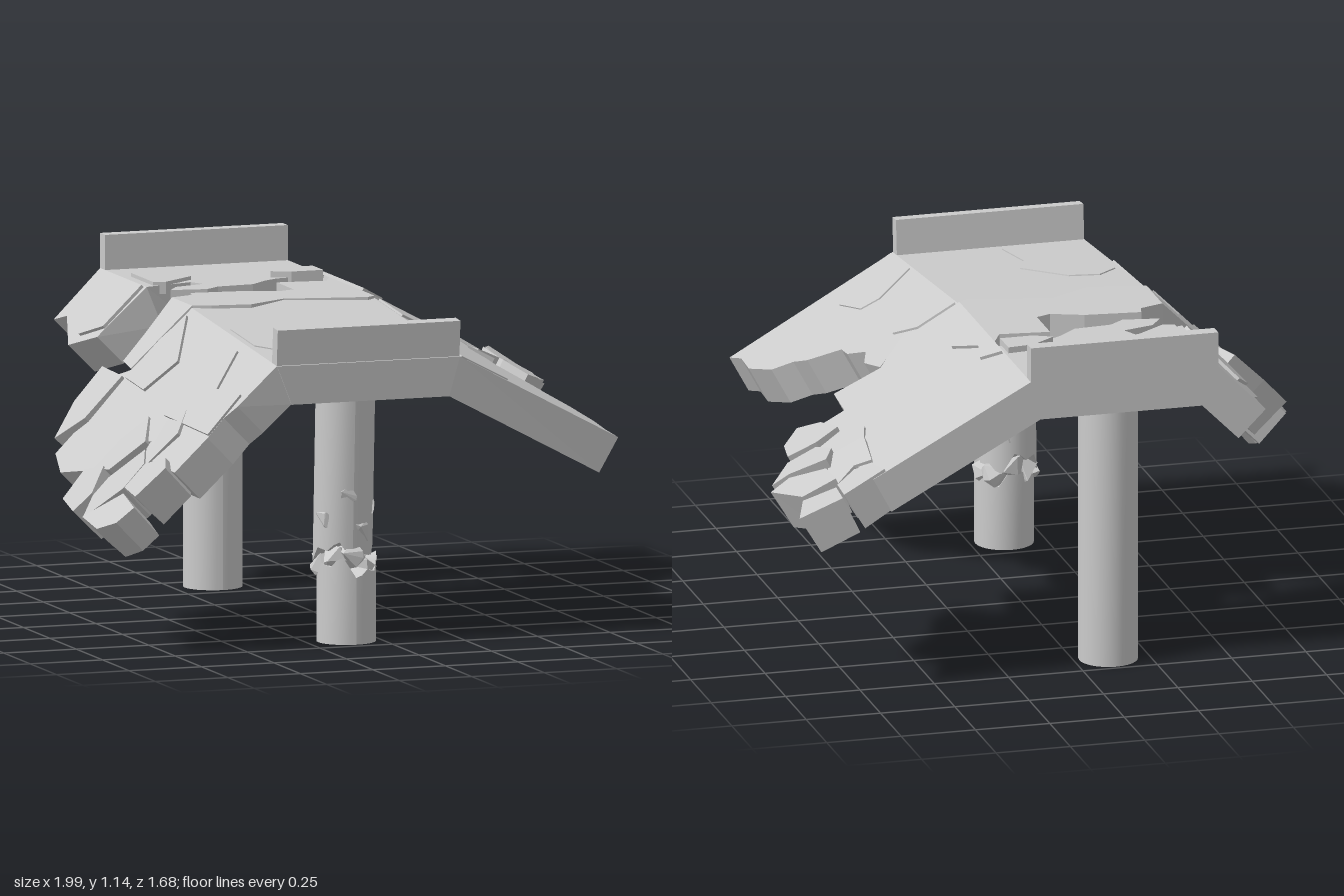
import * as THREE from 'three';
import { ConvexGeometry } from 'three/addons/geometries/ConvexGeometry.js';

const material = new THREE.MeshStandardMaterial({ color: 0xcccccc, flatShading: true });
const smooth = new THREE.MeshStandardMaterial({ color: 0xcccccc });

let seed = 11;
const random = () => ((seed = (seed * 16807) % 2147483647) / 2147483647) * 2 - 1; // -1..1

// Deck cross-section: flat centre with a sloping wing on either side
const FOLD_L = -0.43, FOLD_R = 0.2, THICK = 0.13, SLOPE_L = 1.0, SLOPE_R = 0.54;
const deckY = (x) => 1.03 - Math.max(0, FOLD_L - x) * SLOPE_L - Math.max(0, x - FOLD_R) * SLOPE_R;
// The front half has sagged toward the front
const sag = (z) => -0.01 - 0.095 * (z - 0.05);

// Direction from the top surface to the underside, mitred at the folds
function downward(x) {
  if (Math.abs(x - FOLD_L) < 1e-4) return [0.414, -1];
  if (Math.abs(x - FOLD_R) < 1e-4) return [-0.252, -1];
  if (x < FOLD_L) return [0.707, -0.707];
  if (x > FOLD_R) return [-0.475, -0.88];
  return [0, -1];
}

// Prism over an (x, z) outline that follows the deck
function slab(name, outline, { front = false, thick = THICK, lift = 0, tiltX = 0, tiltZ = 0, taper = 1 } = {}) {
  const shape = new THREE.Shape(outline.map(([x, z]) => new THREE.Vector2(x, -z)));
  const geometry = new THREE.ExtrudeGeometry(shape, { depth: 1, bevelEnabled: false });
  const cx = outline.reduce((s, p) => s + p[0], 0) / outline.length;
  const cz = outline.reduce((s, p) => s + p[1], 0) / outline.length;
  const p = geometry.attributes.position;
  for (let i = 0; i < p.count; i++) {
    const x = p.getX(i), z = -p.getY(i), under = p.getZ(i) < 0.5;
    const y = deckY(x) + (front ? sag(z) : 0) + lift + (x - cx) * tiltX + (z - cz) * tiltZ;
    const [dx, dy] = under ? downward(x) : [0, 0];
    const k = under ? taper : 1;
    p.setXYZ(i, cx + (x - cx) * k + dx * thick, y + dy * thick,
      cz + (z - cz) * k - (under && front ? 0.011 : 0));
  }
  geometry.computeVertexNormals();
  const mesh = new THREE.Mesh(geometry, material);
  mesh.name = name;
  return mesh;
}

// Loose stones: shrunken, tilted cells of the deck
function stones(name, cells, front) {
  const group = new THREE.Group();
  group.name = name;
  for (const cell of cells) {
    const cx = cell.reduce((s, p) => s + p[0], 0) / cell.length;
    const cz = cell.reduce((s, p) => s + p[1], 0) / cell.length;
    const outline = cell.map(([x, z]) => [cx + (x - cx) * 0.97, cz + (z - cz) * 0.97]);
    group.add(slab('stone', outline, {
      front, lift: 0.02 + 0.015 * random(), tiltX: 0.2 * random(), tiltZ: 0.2 * random(), taper: 0.9, thick: 0.14,
    }));
  }
  return group;
}

// Column piece whose broken end is jagged
function columnPiece(name, y0, y1, jagTop, jagBottom) {
  const geometry = new THREE.CylinderGeometry(0.097, 0.097, y1 - y0, 28, 1);
  const p = geometry.attributes.position;
  for (let i = 0; i < p.count; i++) {
    const top = p.getY(i) > 0, a = Math.atan2(p.getZ(i), p.getX(i));
    const jag = 0.025 * Math.sin(3 * a + 1) + 0.018 * Math.sin(7 * a);
    if (Math.hypot(p.getX(i), p.getZ(i)) > 0.01 && (top ? jagTop : jagBottom)) p.setY(i, p.getY(i) + jag);
  }
  geometry.computeVertexNormals();
  const mesh = new THREE.Mesh(geometry, smooth);
  mesh.name = name;
  mesh.position.y = (y0 + y1) / 2;
  return mesh;
}

function box(name, w, h, d, x, y, z, rx = 0) {
  const mesh = new THREE.Mesh(new THREE.BoxGeometry(w, h, d), material);
  mesh.name = name;
  mesh.position.set(x, y, z);
  mesh.rotation.x = rx;
  return mesh;
}

export function createModel() {
  seed = 11;
  const model = new THREE.Group();
  model.name = 'ruinedBridge';

  // Shared crack between the level rear half and the sagging front half
  const crackMid = [[FOLD_L, 0.03], [-0.37, 0.05], [-0.24, 0.07], [-0.1, -0.01], [0.03, 0.02], [0.17, 0.05], [FOLD_R, 0.03]];
  const crackRight = [[FOLD_R, 0.03], [0.35, 0.02], [0.38, 0.05], [0.5, -0.09]];

  // Rear deck, level
  model.add(
    slab('rearRightWing', [[FOLD_L, -0.84], [-0.59, -0.84], [-0.57, -0.77], [-0.635, -0.58], [-0.59, -0.43], [FOLD_L, -0.4]]),
    slab('rearCentre', [[FOLD_L, -0.84], [FOLD_L, -0.4], [-0.26, -0.45], [-0.235, -0.4], [-0.34, -0.37], [-0.38, -0.31],
      [-0.26, -0.29], [-0.21, -0.33], [-0.085, -0.34], [-0.02, -0.4], [0.03, -0.43], [FOLD_R, -0.45], [FOLD_R, -0.84]]),
    slab('middleCentre', [[FOLD_L, -0.16], [-0.35, -0.19], [-0.34, -0.23], [-0.155, -0.21], [-0.05, -0.17], [0, -0.19],
      [0, -0.35], [0.165, -0.33], [FOLD_R, -0.4], ...[...crackMid].reverse()]),
    slab('middleRightWing', [[FOLD_L, -0.16], [-0.54, -0.12], [-0.62, -0.1], [-0.63, 0], [FOLD_L, 0.03]]),
    slab('rearLeftWing', [[FOLD_R, -0.84], [0.73, -0.84], [0.74, -0.7], [0.7, -0.5], [0.68, -0.3], [0.66, -0.25],
      [0.65, -0.07], ...[...crackRight].reverse()]),
  );

  // Front deck, sagging
  const front = true;
  model.add(
    slab('frontCentre', [...crackMid, [FOLD_R, 0.84], [FOLD_L, 0.84]], { front }),
    slab('frontLeftWing', [...crackRight, [0.52, 0.03], [0.49, 0.12], [0.53, 0.2], [0.53, 0.27], [0.62, 0.36], [0.65, 0.42],
      [0.71, 0.47], [0.75, 0.6], [0.74, 0.73], [0.76, 0.8], [FOLD_R, 0.84]], { front }),
    slab('frontRightWing', [[FOLD_L, 0.03], [-0.63, 0], [-0.66, -0.06], [-0.72, 0], [-0.89, 0], [-0.92, 0.13], [-0.875, 0.3],
      [-0.78, 0.33], [-0.74, 0.5], [-0.78, 0.62], [-0.77, 0.8], [-0.66, 0.81], [-0.6, 0.8], [-0.56, 0.82], [FOLD_L, 0.835]], { front }),
  );

  // Broken stones at the wing ends
  model.add(stones('rearLeftStones', [
    [[0.69, -0.84], [0.83, -0.84], [0.82, -0.72], [0.75, -0.68], [0.7, -0.74]],
    [[0.83, -0.84], [0.98, -0.84], [0.93, -0.7], [0.82, -0.72]],
    [[0.82, -0.72], [0.93, -0.7], [0.99, -0.52], [0.92, -0.5], [0.82, -0.6]],
    [[0.7, -0.72], [0.75, -0.68], [0.82, -0.72], [0.82, -0.6], [0.78, -0.52], [0.68, -0.55]],
    [[0.68, -0.55], [0.78, -0.52], [0.8, -0.4], [0.72, -0.38], [0.65, -0.45]],
    [[0.78, -0.52], [0.82, -0.6], [0.92, -0.5], [0.98, -0.5], [0.89, -0.37], [0.8, -0.4]],
    [[0.65, -0.45], [0.72, -0.38], [0.77, -0.27], [0.66, -0.25]],
    [[0.72, -0.38], [0.8, -0.4], [0.89, -0.37], [0.87, -0.25], [0.8, -0.16], [0.74, -0.24]],
  ], false));
  model.add(stones('frontRightStones', [
    [[-0.98, 0.31], [-0.9, 0.3], [-0.86, 0.38], [-0.92, 0.43], [-0.98, 0.41]],
    [[-0.87, 0.3], [-0.78, 0.31], [-0.7, 0.37], [-0.76, 0.5], [-0.86, 0.42]],
    [[-0.92, 0.43], [-0.86, 0.42], [-0.76, 0.5], [-0.8, 0.6], [-0.88, 0.62], [-0.99, 0.52]],
    [[-0.99, 0.52], [-0.88, 0.62], [-0.9, 0.78], [-0.96, 0.77], [-1, 0.69]],
    [[-0.88, 0.62], [-0.8, 0.6], [-0.77, 0.72], [-0.8, 0.8], [-0.9, 0.78]],
    [[-0.76, 0.5], [-0.69, 0.46], [-0.64, 0.56], [-0.7, 0.64], [-0.8, 0.6]],
    [[-0.89, -0.02], [-0.79, -0.1], [-0.68, -0.13], [-0.66, 0.01], [-0.8, 0.03]],
  ], true));

  // Thin lifted flakes on the surface
  const flake = (outline, inFront, lift) => model.add(slab('surfaceFlake', outline, { front: inFront, thick: 0.04, lift }));
  flake([[-0.41, 0.34], [-0.34, 0.27], [-0.24, 0.29], [-0.12, 0.45], [-0.16, 0.55], [-0.14, 0.74], [-0.3, 0.7], [-0.41, 0.57]], true, 0.004);
  flake([[0.21, 0.6], [0.34, 0.5], [0.4, 0.51], [0.43, 0.66], [0.38, 0.8], [0.21, 0.83]], true, 0.005);
  flake([[0.21, 0.05], [0.34, 0.04], [0.4, 0.12], [0.3, 0.25], [0.21, 0.27]], true, 0.008);
  flake([[-0.66, 0.03], [-0.54, 0.03], [-0.46, 0.06], [-0.56, 0.25], [-0.66, 0.2]], true, 0.015);
  flake([[-0.68, 0.45], [-0.54, 0.42], [-0.46, 0.54], [-0.56, 0.62], [-0.54, 0.79], [-0.66, 0.81]], true, 0.012);
  flake([[-0.54, -0.7], [-0.45, -0.62], [-0.44, -0.42], [-0.57, -0.43], [-0.61, -0.55]], false, 0.015);
  flake([[-0.4, -0.63], [-0.25, -0.55], [-0.24, -0.5], [-0.36, -0.41], [-0.4, -0.42]], false, 0.012);
  flake([[0.02, -0.46], [0.1, -0.52], [0.19, -0.53], [0.19, -0.43], [0.08, -0.43]], false, 0.02);
  flake([[0.21, -0.52], [0.27, -0.47], [0.25, -0.38], [0.31, -0.27], [0.29, -0.14], [0.21, -0.1]], false, 0.012);

  // Parapets at both ends
  const width = FOLD_R - FOLD_L, mid = (FOLD_R + FOLD_L) / 2;
  model.add(box('rearParapet', width, 0.13, 0.048, mid, 1.08, -0.816));
  model.add(box('frontParapet', width, 0.13, 0.045, mid, 1.0, 0.816, 0.09));

  // Rear column, intact
  const rear = columnPiece('rearColumn', 0, 0.92, false, false);
  rear.position.x = -0.115;
  rear.position.z = -0.64;
  model.add(rear);

  // Front column, snapped with a leaning upper piece
  const column = new THREE.Group();
  column.name = 'frontColumn';
  column.position.set(-0.115, 0, 0.625);
  const upper = columnPiece('upperColumn', 0.3, 0.88, false, true);
  upper.position.z = -0.018;
  upper.rotation.x = 0.05;
  column.add(columnPiece('lowerColumn', 0, 0.25, true, false), upper);

  // Cracked shards around the break and up the shaft
  for (let i = 0; i < 15; i++) {
    const atBreak = i < 8, a = atBreak ? i * Math.PI / 4 : i * 2.4;
    const y = atBreak ? 0.265 + 0.035 * random() : 0.36 + (i - 8) * 0.025;
    const r = atBreak ? 0.065 : 0.08, s = atBreak ? 0.05 : 0.045;
    const points = Array.from({ length: 12 }, () => new THREE.Vector3(random(), random(), random()).normalize());
    const shard = new THREE.Mesh(new ConvexGeometry(points), material);
    shard.name = 'columnShard';
    shard.scale.set(s, s, atBreak ? s : 0.026);
    shard.position.set(Math.sin(a) * r, y, Math.cos(a) * r - 0.025);
    shard.rotation.y = a;
    column.add(shard);
  }
  model.add(column);
  return model;
}
